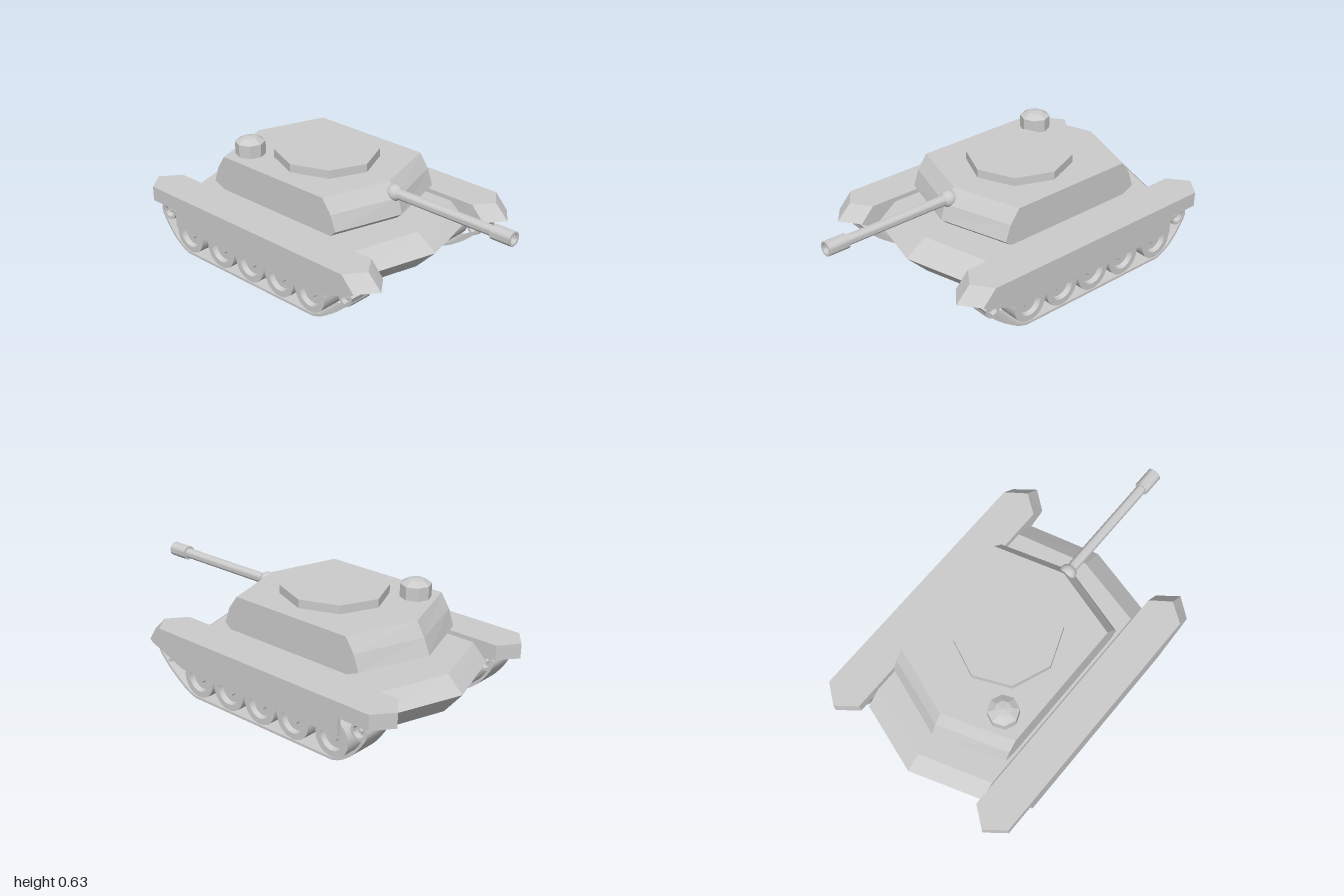
import * as THREE from 'three';
import { toCreasedNormals } from 'three/addons/utils/BufferGeometryUtils.js';

const material = new THREE.MeshStandardMaterial({ color: 0xcccccc });
const flatMaterial = new THREE.MeshStandardMaterial({ color: 0xcccccc, flatShading: true });

function add(parent, name, geometry, x = 0, y = 0, z = 0, mat = material) {
  const mesh = new THREE.Mesh(geometry, mat);
  mesh.name = name;
  mesh.position.set(x, y, z);
  parent.add(mesh);
  return mesh;
}

// Stacks hexagonal outlines with pointed ends.
// Each layer: [y, half width, front tip z, front corner z, back corner z, back tip z]
function pointedLoft(layers) {
  const rings = layers.map(([y, w, f, fc, bc, b]) =>
    [[0, f], [w, fc], [w, bc], [0, b], [-w, bc], [-w, fc]].map(([x, z]) => [x, y, z]));
  const pos = [];
  const tri = (a, b, c) => pos.push(...a, ...b, ...c);
  for (let k = 0; k < rings.length - 1; k++) {
    const lo = rings[k], hi = rings[k + 1];
    for (let i = 0; i < 6; i++) {
      const j = (i + 1) % 6;
      tri(lo[i], lo[j], hi[j]);
      tri(lo[i], hi[j], hi[i]);
    }
  }
  const bottom = rings[0], top = rings[rings.length - 1];
  for (let i = 1; i < 5; i++) {
    tri(top[0], top[i], top[i + 1]);
    tri(bottom[0], bottom[i + 1], bottom[i]);
  }
  const g = new THREE.BufferGeometry();
  g.setAttribute('position', new THREE.Float32BufferAttribute(pos, 3));
  g.computeVertexNormals();
  return g;
}

// Extrudes a side profile drawn in (z, y) across a width centred on x = 0
function sideExtrude(shape, width) {
  const g = new THREE.ExtrudeGeometry(shape, { depth: width, bevelEnabled: false });
  g.rotateY(-Math.PI / 2).translate(width / 2, 0, 0);
  return g;
}

const points = (list) => list.map(([a, b]) => new THREE.Vector2(a, b));

// Disc with a dished face on both sides, its axle along x
function wheelGeometry(r, halfWidth) {
  const half = [[0, 0.85], [0.22, 0.85], [0.25, 0.6], [0.62, 0.6], [0.68, 1], [1, 1]]
    .map(([a, b]) => [a * r, b * halfWidth]);
  const profile = [...half.map(([a, b]) => [a, -b]), ...half.reverse()];
  const g = new THREE.LatheGeometry(points(profile), 32);
  return toCreasedNormals(g.rotateZ(-Math.PI / 2), 0.6);
}

// Belt around the wheels: a smooth closed loop with a constant thickness
function trackGeometry() {
  const corners = [
    [0.24, 0], [0.37, 0.066], [0.47, 0.15], [0.506, 0.2], [0.46, 0.222],
    [-0.2, 0.222], [-0.82, 0.255], [-0.875, 0.24], [-0.89, 0.2], [-0.85, 0.125],
    [-0.775, 0.045], [-0.68, 0],
  ];
  const curve = new THREE.CatmullRomCurve3(
    corners.map(([z, y]) => new THREE.Vector3(z, y, 0)), true, 'centripetal');
  const n = 140, outer = [], inner = [];
  for (let i = 0; i < n; i++) {
    const p = curve.getPointAt(i / n), t = curve.getTangentAt(i / n);
    const y = Math.max(p.y, 0);
    outer.push([p.x, y]);
    inner.push([p.x - t.y * 0.013, y + t.x * 0.013]);
  }
  const shape = new THREE.Shape(points(outer));
  shape.holes.push(new THREE.Path(points(inner)));
  return toCreasedNormals(sideExtrude(shape, 0.148), 0.6);
}

function createRunningGear(name, x) {
  const side = new THREE.Group();
  side.name = name;
  side.position.x = x;

  // Fender with thin skirts hanging from both edges
  add(side, 'fender', pointedLoft([
    [0.25, 0.103, 0.62, 0.54, -0.92, -1],
    [0.33, 0.103, 0.54, 0.465, -0.92, -1],
  ]));
  const skirt = new THREE.Shape(points([
    [0.54, 0.25], [-0.74, 0.25], [-0.74, 0.155], [0.3, 0.155], [0.52, 0.235]]));
  for (const s of [-1, 1]) add(side, 'skirt', sideExtrude(skirt, 0.02), s * 0.093);

  add(side, 'track', trackGeometry());
  for (const z of [0.217, 0.003, -0.212, -0.43, -0.675]) {
    add(side, 'roadWheel', wheelGeometry(0.1, 0.068), 0, 0.112, z);
  }
  add(side, 'idlerWheel', wheelGeometry(0.042, 0.066), 0, 0.178, 0.452);
  add(side, 'driveSprocket', wheelGeometry(0.046, 0.07), 0, 0.2, -0.836);
  return side;
}

function createTurret() {
  const turret = new THREE.Group();
  turret.name = 'turret';

  add(turret, 'turretRing',
    new THREE.CylinderGeometry(0.327, 0.327, 0.06, 48), 0, 0.325, -0.222);
  add(turret, 'turretBody', pointedLoft([
    [0.34, 0.37, 0.285, 0.175, -0.6, -0.67],
    [0.37, 0.37, 0.32, 0.21, -0.67, -0.8],
    [0.455, 0.37, 0.295, 0.18, -0.64, -0.765],
    [0.53, 0.37, 0.235, 0.125, -0.59, -0.72],
  ]));
  const roof = add(turret, 'roofPlate',
    new THREE.CylinderGeometry(0.283, 0.283, 0.06, 8), 0, 0.545, -0.2, flatMaterial);
  roof.scale.x = 0.95;

  // Small cupola with a shallow dome
  const cupola = points([
    [0, 0], [0.08, 0], [0.08, 0.08], [0.074, 0.083], [0.042, 0.102], [0, 0.108]]);
  add(turret, 'cupola', new THREE.LatheGeometry(cupola, 8), -0.24, 0.52, -0.525, flatMaterial);

  // Gun: ball mount, barrel and hollow muzzle
  const gunY = 0.476;
  add(turret, 'gunMount', new THREE.SphereGeometry(0.044, 24, 16), 0, gunY, 0.27);
  const gun = points([
    [0.027, 0.25], [0.027, 0.885], [0.038, 0.885], [0.038, 1],
    [0.027, 1], [0.027, 0.93], [0, 0.93]]);
  const barrel = new THREE.LatheGeometry(gun, 24).rotateX(Math.PI / 2);
  add(turret, 'gunBarrel', toCreasedNormals(barrel, 0.6), 0, gunY, 0);
  return turret;
}

export function createModel() {
  const model = new THREE.Group();
  model.name = 'tank';

  add(model, 'hull', pointedLoft([
    [0.11, 0.38, 0.42, 0.32, -0.78, -0.9],
    [0.23, 0.38, 0.54, 0.44, -0.875, -1],
    [0.312, 0.38, 0.425, 0.33, -0.79, -0.912],
  ]));
  model.add(createRunningGear('leftRunningGear', 0.492));
  model.add(createRunningGear('rightRunningGear', -0.492));
  model.add(createTurret());
  return model;
}
